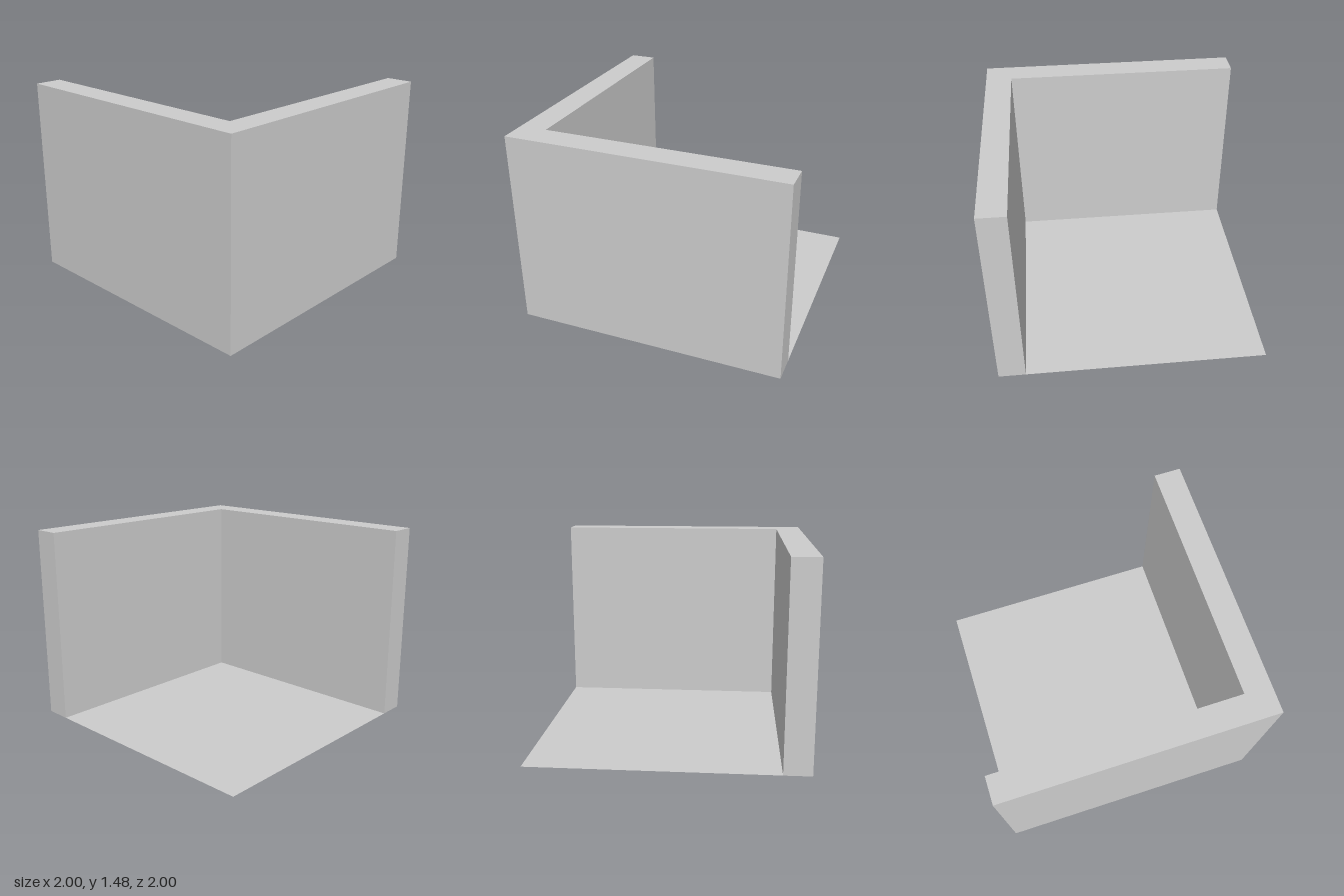
import * as THREE from 'three';

const HEIGHT = 1.475;
const INNER = 0.8; // inner face of both walls

export function createModel() {
  const model = new THREE.Group();
  const material = new THREE.MeshStandardMaterial({ color: 0xcccccc, side: THREE.DoubleSide });

  const add = (parent, name, geometry) => {
    const mesh = new THREE.Mesh(geometry, material);
    mesh.name = name;
    parent.add(mesh);
    return mesh;
  };

  // L-shaped wall outline, counter-clockwise seen from above, as (x, -z)
  const outline = [[-1, -1], [1, -1], [1, 1], [INNER, 1], [INNER, -INNER], [-1, -INNER]]
    .map(([x, y]) => new THREE.Vector2(x, y));

  // Hollow walls: one upright panel per outline edge, open underneath
  const walls = new THREE.Group();
  walls.name = 'walls';
  model.add(walls);
  const panelNames = ['frontFace', 'leftFace', 'backEnd', 'leftInnerFace', 'frontInnerFace', 'rightEnd'];
  outline.forEach((a, i) => {
    const b = outline[(i + 1) % outline.length];
    const panel = add(walls, panelNames[i], new THREE.PlaneGeometry(a.distanceTo(b), HEIGHT));
    panel.position.set((a.x + b.x) / 2, HEIGHT / 2, -(a.y + b.y) / 2);
    panel.rotation.y = Math.atan2(b.y - a.y, b.x - a.x);
  });

  // Cap along the top of the walls
  const top = add(walls, 'wallTop', new THREE.ShapeGeometry(new THREE.Shape(outline)));
  top.rotation.x = -Math.PI / 2;
  top.position.y = HEIGHT;

  // Thin floor sheet between the walls
  const size = INNER + 1;
  const floor = add(model, 'floor', new THREE.PlaneGeometry(size, size));
  floor.rotation.x = -Math.PI / 2;
  floor.position.set((INNER - 1) / 2, 0, (INNER - 1) / 2);

  return model;
}
